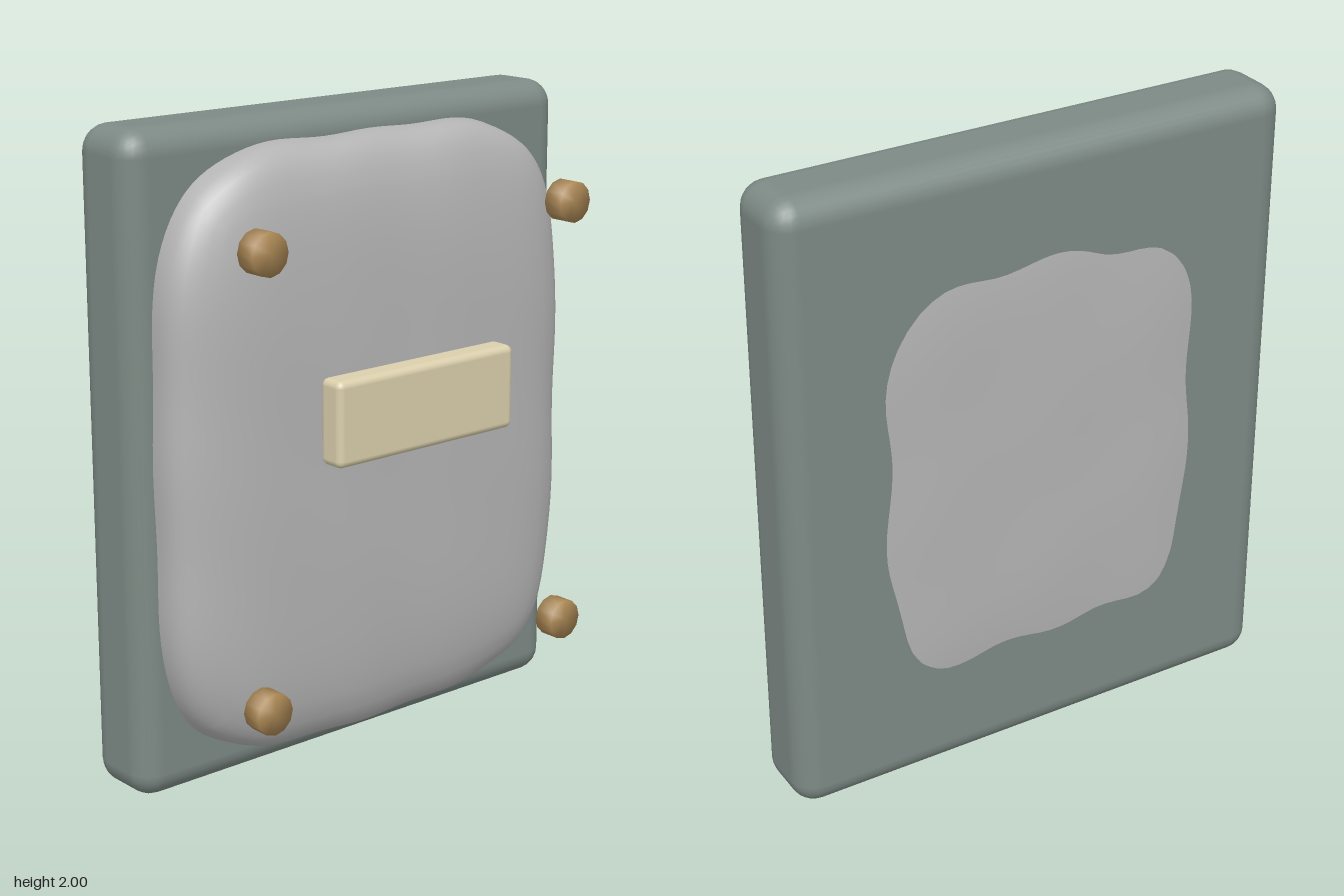
import * as THREE from 'three';
import { mergeVertices } from 'three/addons/utils/BufferGeometryUtils.js';
import { RoundedBoxGeometry } from 'three/addons/geometries/RoundedBoxGeometry.js';

// Weld corners so the surface shades smoothly across its edges
function weld(geometry) {
  geometry.deleteAttribute('normal');
  geometry.deleteAttribute('uv');
  const welded = mergeVertices(geometry, 1e-4);
  welded.computeVertexNormals();
  return welded;
}

// Pillow shape: a cube pressed into a superellipsoid, with faint ripples
function pillowGeometry(halfX, halfY, halfZ, power) {
  const geometry = new THREE.BoxGeometry(2, 2, 2, 36, 36, 20);
  const pos = geometry.attributes.position;
  const p = new THREE.Vector3();
  for (let i = 0; i < pos.count; i++) {
    p.fromBufferAttribute(pos, i);
    const norm = Math.abs(p.x) ** power + Math.abs(p.y) ** power + Math.abs(p.z) ** power;
    p.multiplyScalar(norm ** (-1 / power));
    const ripple = 1 + 0.004 * Math.sin(13 * p.x + 4 * p.z) + 0.004 * Math.sin(11 * p.y + 5 * p.x);
    pos.setXYZ(i, p.x * halfX * ripple, p.y * halfY * ripple, p.z * halfZ * ripple);
  }
  return weld(geometry);
}

export function createModel() {
  const group = new THREE.Group();
  const add = (name, geometry, color, x, y, z) => {
    const mesh = new THREE.Mesh(geometry, new THREE.MeshStandardMaterial({ color }));
    mesh.name = name;
    mesh.position.set(x, y, z);
    group.add(mesh);
    return mesh;
  };

  // Backing board
  add('board', new RoundedBoxGeometry(1.67, 2, 0.265, 3, 0.08), 0x7d8a85, 0, 1, -0.1525);

  // Soft panel, bulging slightly through the back of the board
  add('pillowPanel', pillowGeometry(0.765, 0.925, 0.225, 4.5), 0xb4b4b4, 0, 1, -0.07);

  // Raised name plate
  add('plate', new RoundedBoxGeometry(0.69, 0.26, 0.09, 3, 0.022), 0xdacfac, 0, 1.145, 0.255);

  // Four corner studs
  const studGeometry = weld(new THREE.CylinderGeometry(0.064, 0.064, 0.066, 12).rotateX(Math.PI / 2));
  for (const x of [-0.59, 0.59]) {
    for (const y of [0.33, 1.68]) add('stud', studGeometry, 0xa98654, x, y, 0.268);
  }
  return group;
}
